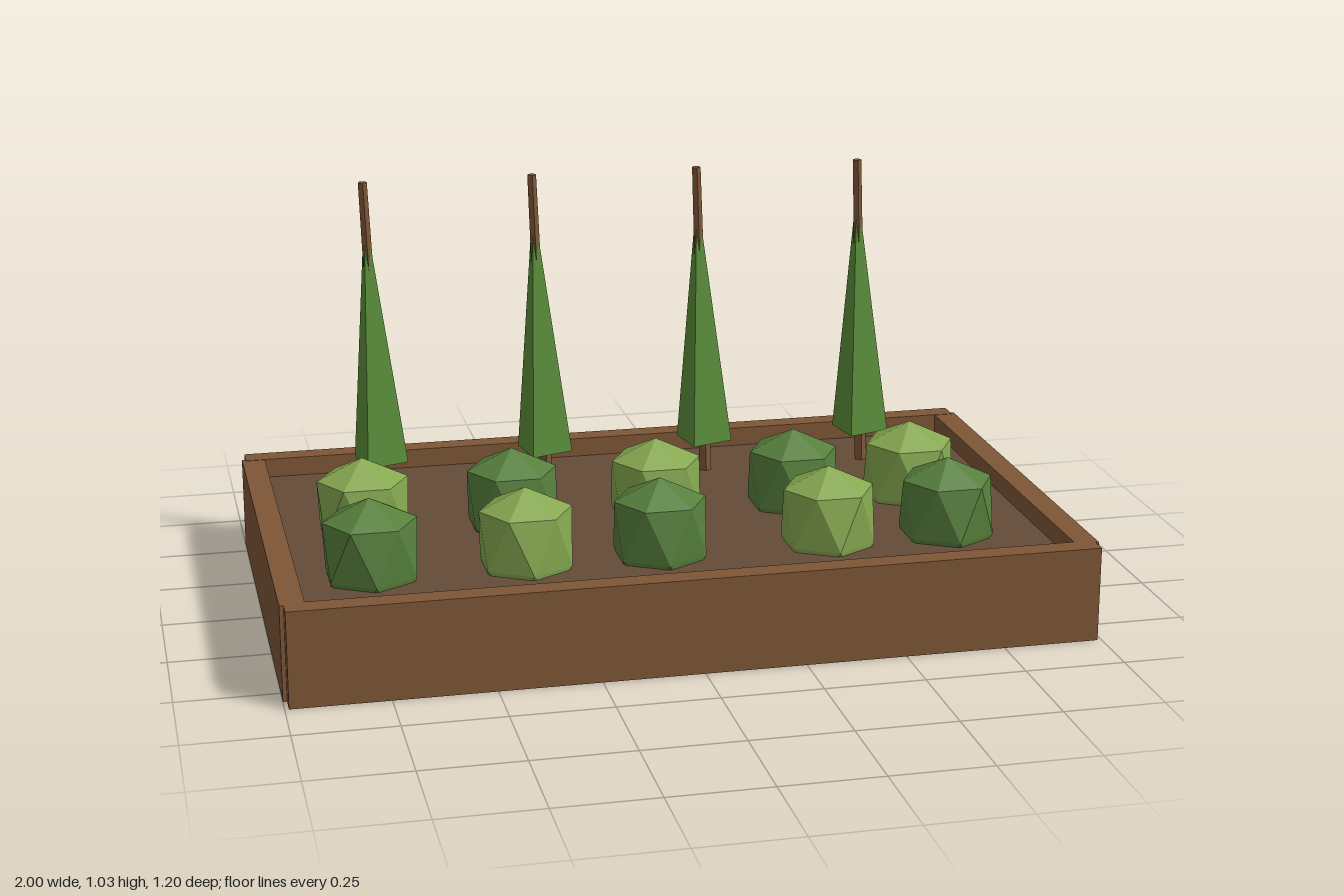
import * as THREE from 'three';

const mat = (color) => {
  const m = new THREE.MeshStandardMaterial({ color, flatShading: true });
  return m;
};
const wood = mat(0x7d5636);
const soilMat = mat(0x644b38);
const foliage = mat(0x5a8f3a);
const lightLeaf = mat(0x86a850);
const darkLeaf = mat(0x567f3c);

const SOIL = 0.19;

function addMesh(parent, name, geometry, material, x = 0, y = 0, z = 0) {
  const mesh = new THREE.Mesh(geometry, material);
  mesh.name = name;
  mesh.position.set(x, y, z);
  parent.add(mesh);
  return mesh;
}

// Faceted dome: apex, staggered six-sided rings, closed below
function bushGeometry() {
  const n = 6;
  const rings = [[0.145, 0.115, 0], [0.01, 0.12, 0.5], [-0.06, 0.09, 0]];
  const pts = [];
  for (const [y, r, shift] of rings) {
    for (let i = 0; i < n; i++) {
      const a = ((i + shift) / n) * Math.PI * 2;
      pts.push(r * Math.cos(a), y, r * Math.sin(a));
    }
  }
  const top = n * rings.length;
  const bottom = top + 1;
  pts.push(0, 0.2, 0, 0, -0.06, 0);
  const index = [];
  for (let i = 0; i < n; i++) {
    const j = (i + 1) % n;
    index.push(top, j, i);
    index.push(i, j, n + i, j, n + j, n + i);
    index.push(n + i, n + j, 2 * n + j, n + i, 2 * n + j, 2 * n + i);
    index.push(bottom, 2 * n + i, 2 * n + j);
  }
  const g = new THREE.BufferGeometry();
  g.setAttribute('position', new THREE.Float32BufferAttribute(pts, 3));
  g.setIndex(index);
  const flat = g.toNonIndexed();
  flat.computeVertexNormals();
  return flat;
}

export function createModel() {
  const model = new THREE.Group();
  model.name = 'plantedBox';

  // Wooden frame
  const longBoard = new THREE.BoxGeometry(1.98, 0.24, 0.057);
  const shortBoard = new THREE.BoxGeometry(0.06, 0.238, 1.11);
  addMesh(model, 'frontBoard', longBoard, wood, 0, 0.12, 0.5715);
  addMesh(model, 'backBoard', longBoard, wood, 0, 0.12, -0.5715);
  addMesh(model, 'leftBoard', shortBoard, wood, 0.97, 0.12, 0);
  addMesh(model, 'rightBoard', shortBoard, wood, -0.97, 0.12, 0);

  // Earth filling
  addMesh(model, 'soil', new THREE.BoxGeometry(1.9, SOIL - 0.01, 1.1), soilMat, 0, (SOIL + 0.01) / 2, 0);

  // Two rows of bushes, alternating in shade
  const bush = bushGeometry();
  const rows = [
    { z: -0.04, xs: [-0.735, -0.355, 0.02, 0.385, 0.7], first: 0 },
    { z: 0.275, xs: [-0.755, -0.375, -0.04, 0.39, 0.7], first: 1 },
  ];
  for (const { z, xs, first } of rows) {
    xs.forEach((x, i) => {
      const light = (i + first) % 2 === 0;
      addMesh(model, light ? 'lightBush' : 'darkBush', bush, light ? lightLeaf : darkLeaf, x, SOIL, z);
    });
  }

  // Back row of slightly leaning conifers
  const trunkGeo = new THREE.CylinderGeometry(0.012, 0.017, 0.86, 5);
  const coneGeo = new THREE.ConeGeometry(0.078, 0.68, 4);
  for (const x of [-0.645, -0.208, 0.228, 0.665]) {
    const tree = new THREE.Group();
    tree.name = 'conifer';
    tree.position.set(x, SOIL, -0.357);
    tree.rotation.set(0.027, 0, 0.041);
    addMesh(tree, 'trunk', trunkGeo, wood, 0, 0.41, 0);
    const crown = addMesh(tree, 'crown', coneGeo, foliage, 0, 0.09 + 0.34, 0);
    crown.rotation.y = -0.58;
    model.add(tree);
  }
  return model;
}
